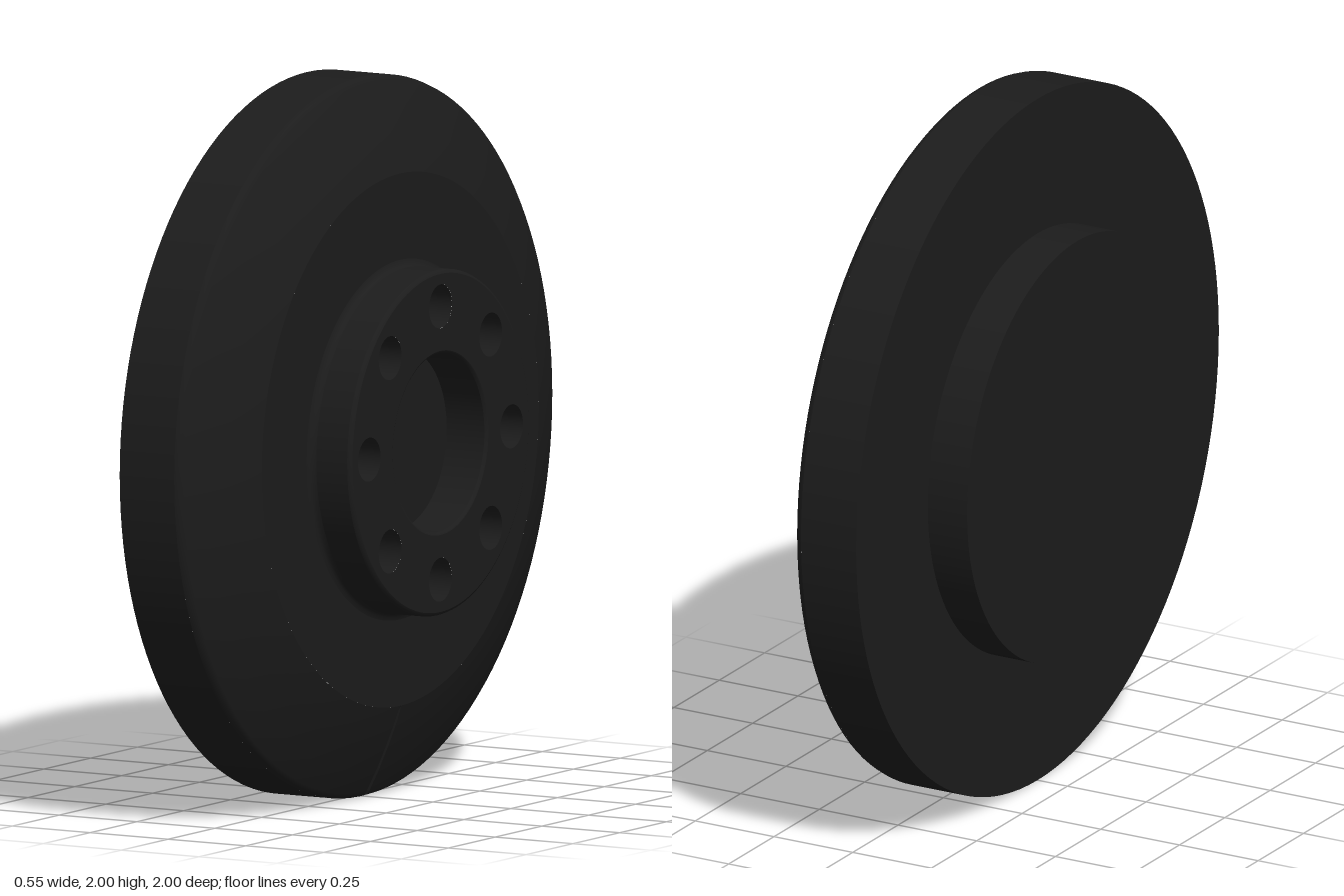
import * as THREE from 'three';

const SEG = 128;
const material = new THREE.MeshStandardMaterial({ color: 0x1c1c1c });

// Turned surface about the x axis from [radius, x] points; phi = PI/2 is the bottom
function turned(points, seg = SEG, start = 0, length = Math.PI * 2) {
  const g = new THREE.LatheGeometry(points.map(([r, x]) => new THREE.Vector2(r, x)), seg, start, length);
  return g.rotateZ(-Math.PI / 2);
}

// Adds one mesh per smooth stretch, so the corners between stretches stay sharp
function addTurned(parent, name, stretches, seg = SEG) {
  const part = new THREE.Group();
  part.name = name;
  for (const s of stretches) {
    const mesh = new THREE.Mesh(turned(s, seg), material);
    mesh.name = name + 'Surface';
    part.add(mesh);
  }
  parent.add(part);
  return part;
}

export function createModel() {
  const model = new THREE.Group();
  model.name = 'wheelDisc';
  const wheel = new THREE.Group();
  wheel.name = 'wheel';
  wheel.position.y = 1;
  model.add(wheel);

  // Plain round boss on the inner side
  addTurned(wheel, 'rearBoss', [
    [[0, -0.28], [0.605, -0.28]],
    [[0.605, -0.28], [0.605, -0.155]],
  ]);

  // Main disc: flat back, cylindrical rim and flat outer face
  addTurned(wheel, 'disc', [
    [[0.605, -0.155], [1, -0.155]],
    [[1, -0.155], [1, 0.02]],
    [[0.74, 0.145], [0.5, 0.145]],
  ]);

  // Bulged taper from rim to outer face, open for a narrow groove at the bottom
  const taper = [[1, 0.02], [0.996, 0.032], [0.985, 0.041], [0.92, 0.074], [0.85, 0.105], [0.79, 0.129], [0.74, 0.145]];
  const half = 0.008;
  const shell = new THREE.Mesh(turned(taper, SEG, Math.PI / 2 + half, Math.PI * 2 - 2 * half), material);
  shell.name = 'taper';
  wheel.add(shell);

  // V-shaped groove, fading out at both ends
  const pos = [], index = [];
  taper.forEach(([r, x], i) => {
    const depth = i === 0 || i === taper.length - 1 ? 0 : 0.012;
    const y = -r * Math.cos(half), z = r * Math.sin(half);
    pos.push(x, y, -z, x - depth * 0.9, -r + depth * 0.4, 0, x, y, z);
    if (i > 0) {
      for (let k = 0; k < 2; k++) {
        const a = (i - 1) * 3 + k, b = i * 3 + k;
        index.push(a, a + 1, b, a + 1, b + 1, b);
      }
    }
  });
  const grooveGeo = new THREE.BufferGeometry();
  grooveGeo.setAttribute('position', new THREE.Float32BufferAttribute(pos, 3));
  grooveGeo.setIndex(index);
  const flatGroove = grooveGeo.toNonIndexed();
  flatGroove.computeVertexNormals();
  const grooveMaterial = material.clone();
  grooveMaterial.side = THREE.DoubleSide;
  const groove = new THREE.Mesh(flatGroove, grooveMaterial);
  groove.name = 'groove';
  wheel.add(groove);

  // Raised hub with a filleted foot, rounded edge and central blind bore
  addTurned(wheel, 'hub', [
    [[0.5, 0.145], [0.49, 0.148], [0.483, 0.154], [0.48, 0.164]],
    [[0.48, 0.164], [0.48, 0.263]],
    [[0.48, 0.263], [0.477, 0.27], [0.47, 0.274]],
    [[0.256, 0.274], [0.252, 0.272], [0.248, 0.266]],
    [[0.248, 0.266], [0.248, 0.145]],
    [[0.248, 0.145], [0, 0.145]],
  ]);

  // Hub face with the bore and a ring of eight bolt holes
  const face = new THREE.Shape().absarc(0, 0, 0.47, 0, Math.PI * 2);
  const cutHole = (x, y, r) => face.holes.push(new THREE.Path().absarc(x, y, r, 0, Math.PI * 2, true));
  cutHole(0, 0, 0.256);
  for (let i = 0; i < 8; i++) {
    const a = (i * Math.PI) / 4;
    const u = 0.38 * Math.cos(a), v = 0.38 * Math.sin(a);
    cutHole(u, v, 0.061);
    const hole = addTurned(wheel, 'boltHole', [
      [[0.061, 0.274], [0.061, 0.2]],
      [[0.061, 0.2], [0, 0.175]],
    ], 32);
    hole.position.set(0, v, -u);
  }
  const hubFace = new THREE.Mesh(new THREE.ShapeGeometry(face, 64).rotateY(Math.PI / 2), material);
  hubFace.name = 'hubFace';
  hubFace.position.x = 0.274;
  wheel.add(hubFace);

  return model;
}
